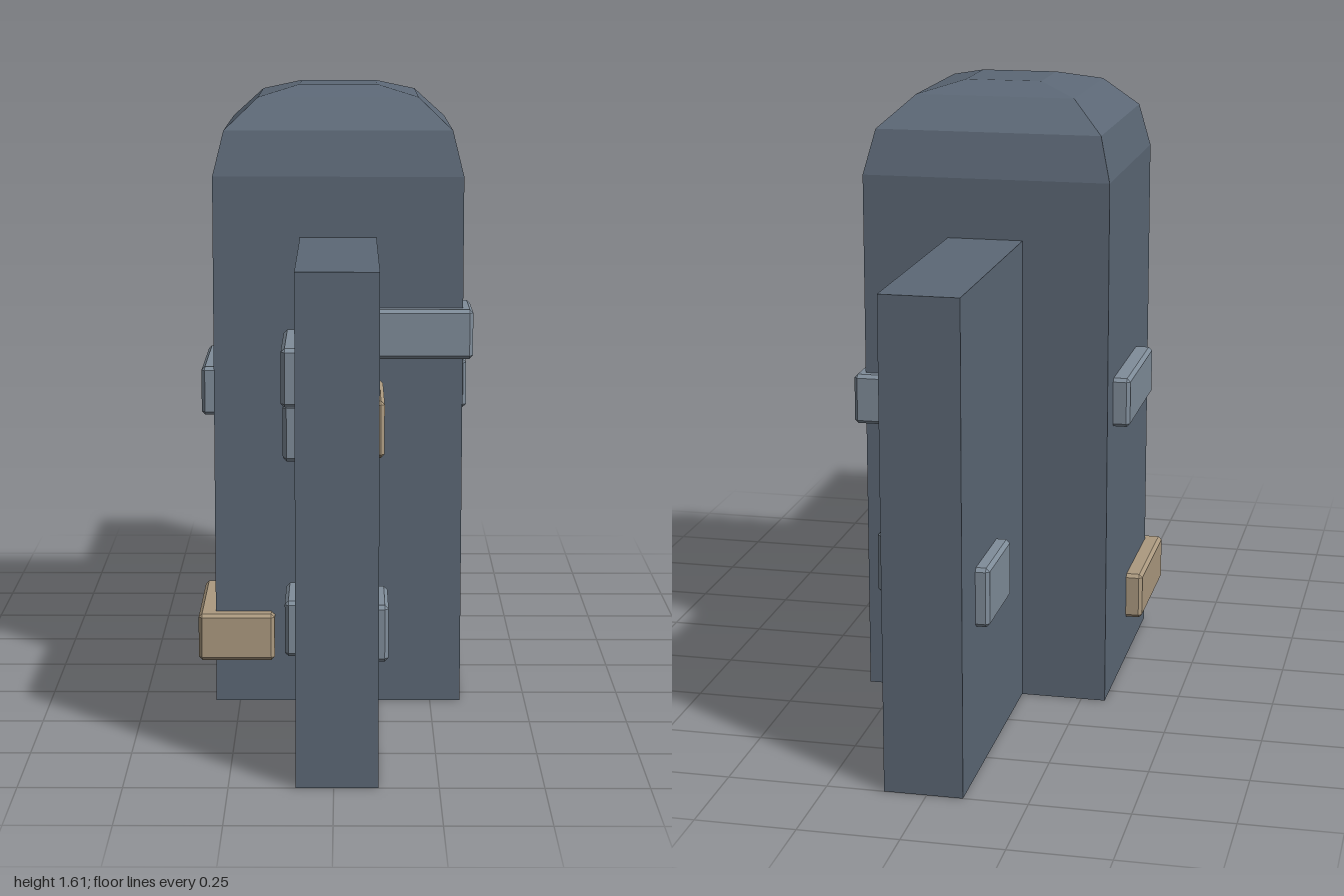
import * as THREE from 'three';
import { ConvexGeometry } from 'three/addons/geometries/ConvexGeometry.js';

const material = (name, color) => {
  const m = new THREE.MeshStandardMaterial({ color });
  m.name = name;
  return m;
};

// Box between two corners with a small chamfer along every edge
function chamferedBox([x0, x1], [y0, y1], [z0, z1], c = 0.009) {
  const half = [(x1 - x0) / 2, (y1 - y0) / 2, (z1 - z0) / 2];
  const points = [];
  for (const sx of [-1, 1]) for (const sy of [-1, 1]) for (const sz of [-1, 1]) {
    for (let axis = 0; axis < 3; axis++) {
      const [a, b, d] = half.map((h, i) => (i === axis ? h : h - c));
      points.push(new THREE.Vector3(sx * a, sy * b, sz * d));
    }
  }
  return new ConvexGeometry(points).translate((x0 + x1) / 2, (y0 + y1) / 2, (z0 + z1) / 2);
}

export function createModel() {
  const group = new THREE.Group();
  const stone = material('dark stone', 0x5c6876);
  const pale = material('pale stone', 0x808d9a);
  const tan = material('tan stone', 0xac9a80);
  const add = (name, geometry, mat) => {
    const mesh = new THREE.Mesh(geometry, mat);
    mesh.name = name;
    group.add(mesh);
  };
  const cx = 0.008;

  // Square pillar with a faceted domed cap, as a four-sided lathe
  const profile = [[0, 0], [0.321, 0], [0.321, 1.385], [0.293, 1.5], [0.207, 1.58], [0.1, 1.608], [0, 1.608]]
    .map(([r, y]) => new THREE.Vector2(r * Math.SQRT2, y));
  const pillar = new THREE.LatheGeometry(profile, 4, Math.PI / 4).toNonIndexed();
  pillar.computeVertexNormals();
  add('pillar', pillar.translate(cx, 0, 0), stone);

  // Wall sections in front of and behind the pillar
  for (const [name, side] of [['frontWall', 1], ['backWall', -1]]) {
    add(name, new THREE.BoxGeometry(0.196, 1.23, 0.72).translate(cx, 0.615, side * 0.64), stone);
  }

  // Raised bricks: name, x range, y range, z range, material
  const bricks = [
    ['frontLeftCornerBrick', [0.1, 0.354], [0.92, 1.048], [0.165, 0.357], pale],
    ['backLeftCornerBrick', [0.155, 0.354], [0.73, 0.862], [-0.35, 0.018], pale],
    ['frontRightCornerBrick', [-0.357, -0.158], [0.118, 0.243], [0, 0.357], tan],
    ['pillarRightBrick', [-0.357, -0.2], [0.73, 0.86], [-0.24, 0.13], pale],
    ['wallLeftTanBrick', [0.05, 0.122], [0.742, 0.882], [0.435, 0.742], tan],
    ['wallLeftLowBrick', [0.05, 0.13], [0.285, 0.423], [0.727, 0.922], pale],
    ['wallLeftBackBrick', [0.05, 0.13], [0.485, 0.638], [-0.945, -0.62], pale],
    ['wallRightTopBrick', [-0.124, -0.04], [0.9, 1.04], [0.62, 0.923], pale],
    ['wallRightMiddleBrick', [-0.124, -0.04], [0.738, 0.878], [0.46, 0.765], pale],
    ['wallRightLowBrick', [-0.124, -0.04], [0.212, 0.354], [0.44, 0.635], pale],
    ['wallRightBackBrick', [-0.124, -0.04], [0.385, 0.535], [-0.862, -0.62], pale],
  ];
  for (const [name, x, y, z, mat] of bricks) add(name, chamferedBox(x, y, z), mat);

  return group;
}
